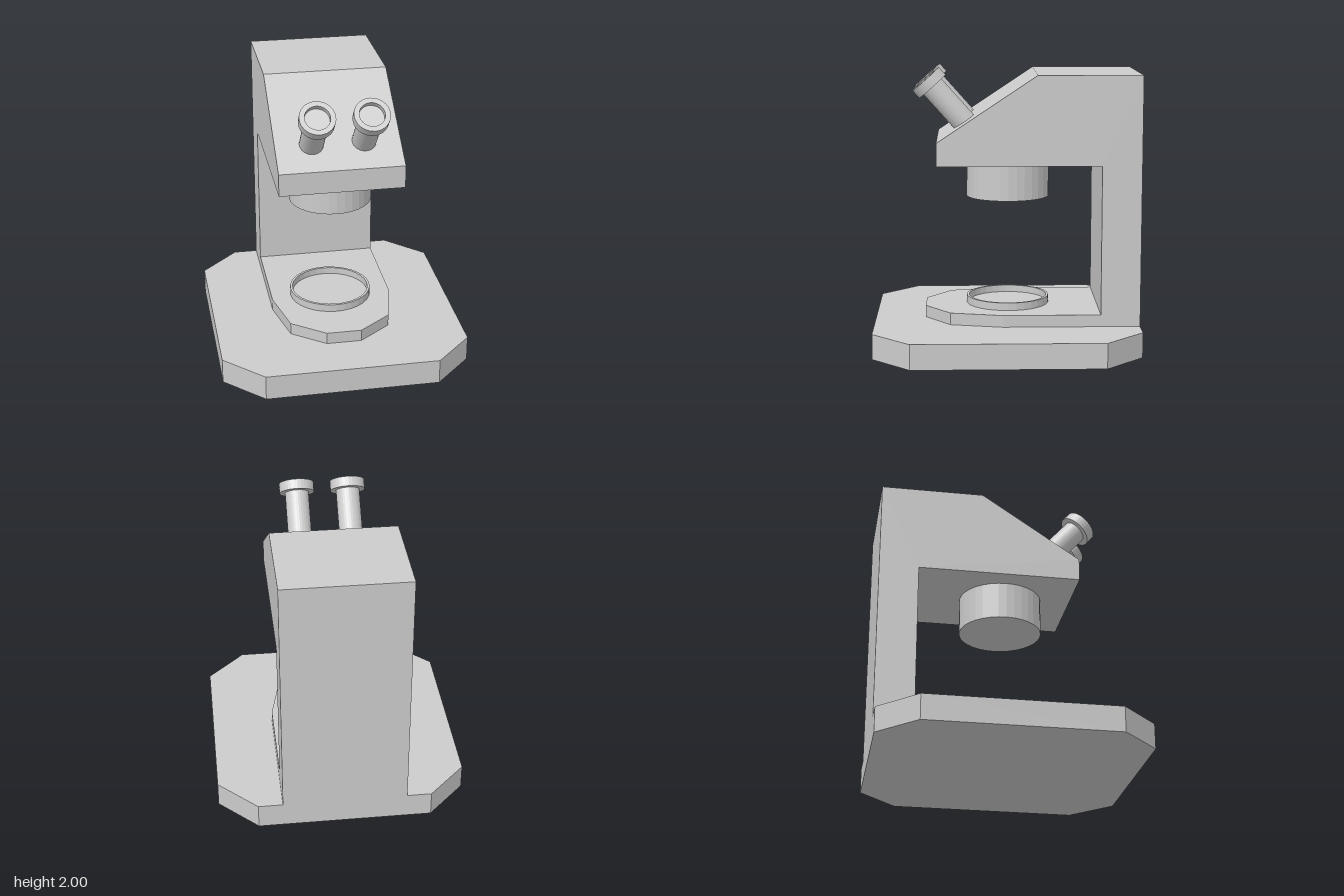
import * as THREE from 'three';

const material = new THREE.MeshStandardMaterial({ color: 0xcccccc, flatShading: true });
const toVectors = (points) => points.map(([a, b]) => new THREE.Vector2(a, b));

function part(name, geometry) {
  const mesh = new THREE.Mesh(geometry, material);
  mesh.name = name;
  return mesh;
}

// Extrudes an [x, z] outline upwards from y0 to y1
function slab(name, outline, y0, y1) {
  const shape = new THREE.Shape(toVectors(outline.map(([x, z]) => [x, -z])));
  const geometry = new THREE.ExtrudeGeometry(shape, { depth: y1 - y0, bevelEnabled: false });
  return part(name, geometry.rotateX(-Math.PI / 2).translate(0, y0, 0));
}

// Extrudes a [z, y] side outline across the width, centred on x = 0
function sidePlate(name, outline, width) {
  const shape = new THREE.Shape(toVectors(outline));
  const geometry = new THREE.ExtrudeGeometry(shape, { depth: width, bevelEnabled: false });
  return part(name, geometry.rotateY(-Math.PI / 2).translate(width / 2, 0, 0));
}

const turned = (name, profile) => part(name, new THREE.LatheGeometry(toVectors(profile), 32));

export function createModel() {
  const model = new THREE.Group();
  model.name = 'microscope';

  // Base with cut corners
  const bx = 0.887, bz = 0.942, cx = 0.615, cz = 0.67;
  model.add(slab('base', [
    [cx, bz], [bx, cz], [bx, -cz], [cx, -bz],
    [-cx, -bz], [-bx, -cz], [-bx, cz], [-cx, bz],
  ], 0, 0.18));

  // Stage plate with a faceted front, reaching back under the column
  const half = [[0.125, 0.58], [0.36, 0.4], [0.442, 0.03], [0.442, -bz]];
  const mirrored = half.map(([x, z]) => [-x, z]).reverse();
  model.add(slab('stagePlate', [...half, ...mirrored], 0.18, 0.265));

  // Column and overhanging head in one piece
  model.add(sidePlate('columnAndHead', [
    [-bz, 0.265], [-0.663, 0.265], [-0.663, 1.325], [0.492, 1.325],
    [0.492, 1.488], [-0.212, 1.956], [-bz, 1.956],
  ], 0.884));

  // Round stage rim and objective housing share one axis
  const rim = turned('stageRim', [
    [0.298, 0.26], [0.298, 0.32], [0.28, 0.32], [0.28, 0.27], [0, 0.27],
  ]);
  const objective = turned('objective', [[0, 1.057], [0.298, 1.057], [0.298, 1.33]]);
  for (const mesh of [rim, objective]) {
    mesh.position.z = -0.015;
    model.add(mesh);
  }

  // Pair of tilted eyepieces; local y = 0 is the outer end of the cup
  for (const side of [-1, 1]) {
    const eyepiece = new THREE.Group();
    eyepiece.name = side > 0 ? 'leftEyepiece' : 'rightEyepiece';
    eyepiece.add(
      turned('eyepieceTube', [[0, -0.5], [0.085, -0.5], [0.085, -0.06]]),
      turned('eyepieceCup', [
        [0.08, -0.071], [0.125, -0.071], [0.125, 0],
        [0.088, 0], [0.088, -0.04], [0, -0.04],
      ]),
    );
    eyepiece.position.set(side * 0.185, 1.915, 0.567);
    eyepiece.rotation.x = 0.727;
    model.add(eyepiece);
  }

  return model;
}
